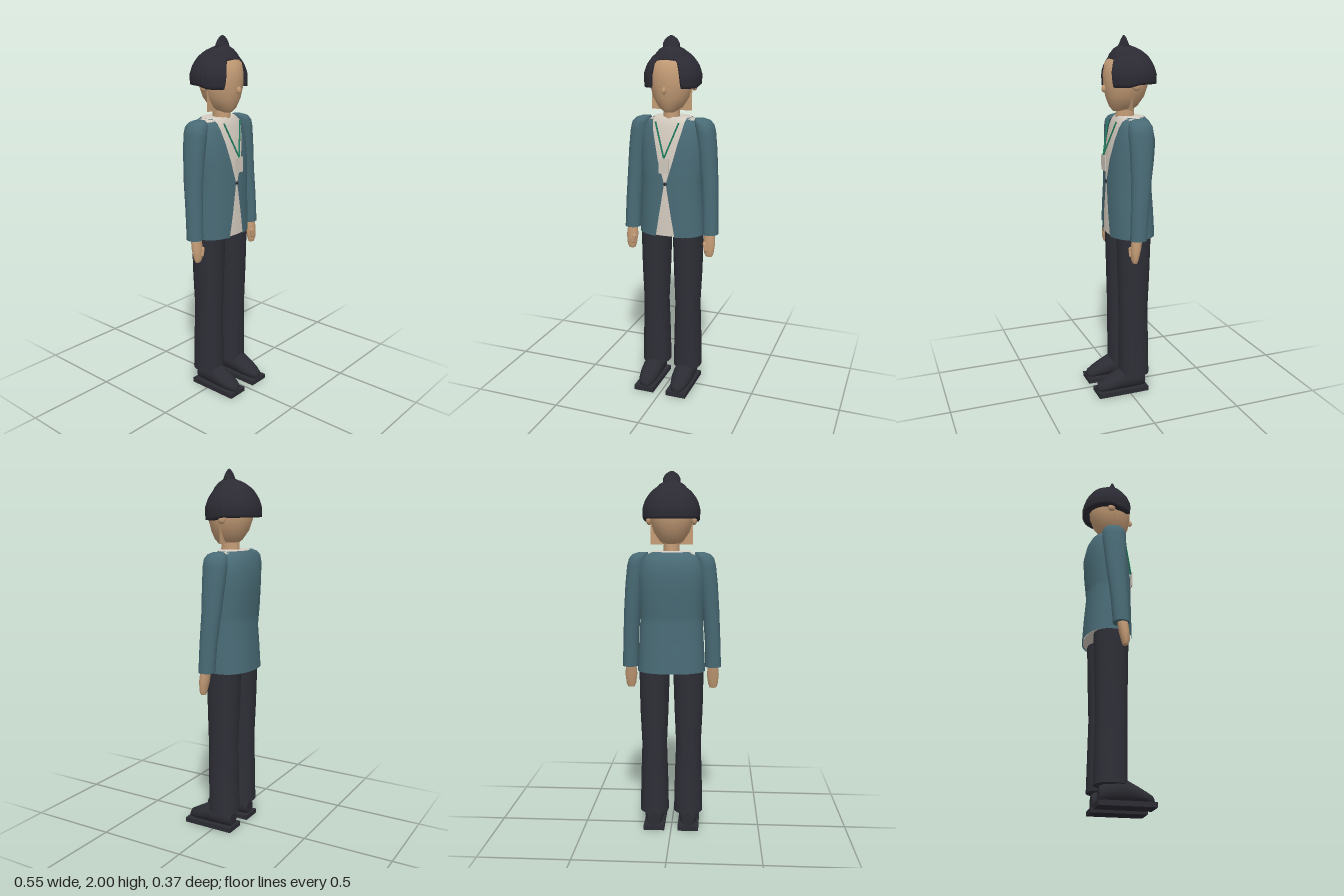
import * as THREE from 'three';

const mat = (name, color, side = THREE.FrontSide) => {
  const m = new THREE.MeshStandardMaterial({ color, side });
  m.name = name;
  return m;
};

// Smooth skin over rows of points; f(row, u) gives [x, y, z], u runs 0..1 around from the front.
function skin(rows, cols, f, { closed = true, caps = true } = {}) {
  const pos = [], idx = [], n = closed ? cols : cols + 1;
  for (let i = 0; i < rows; i++)
    for (let j = 0; j < n; j++) pos.push(...f(i, j / cols));
  for (let i = 0; i < rows - 1; i++)
    for (let j = 0; j < cols; j++) {
      const k = (j + 1) % n, a = i * n + j, b = i * n + k, c = a + n, d = b + n;
      idx.push(a, b, c, b, d, c);
    }
  if (closed && caps) for (const i of [0, rows - 1]) {
    const start = pos.length / 3, mid = [0, 0, 0];
    for (let j = 0; j < n; j++) {
      const p = f(i, j / cols);
      pos.push(...p);
      p.forEach((v, q) => { mid[q] += v / n; });
    }
    pos.push(...mid);
    for (let j = 0; j < n; j++) {
      const a = start + j, b = start + (j + 1) % n;
      if (i) idx.push(a, b, start + n); else idx.push(b, a, start + n);
    }
  }
  const g = new THREE.BufferGeometry();
  g.setAttribute('position', new THREE.Float32BufferAttribute(pos, 3));
  g.setIndex(idx);
  g.computeVertexNormals();
  return g;
}

// Point on a rounded cross-section; p under 1 makes it squarer.
const pw = (v, p) => Math.sign(v) * Math.abs(v) ** p;
const oval = (a, y, cx, rx, zf, zb, p = 1) =>
  [cx + rx * pw(Math.sin(a), p), y, (zf + zb) / 2 + (zf - zb) / 2 * pw(Math.cos(a), p)];

// Loft of rings [y, centreX, radiusX, frontZ, backZ], listed from the bottom up.
const loft = (rings, s = 1, p = 1, cols = 28) => skin(rings.length, cols, (i, u) => {
  const [y, cx, rx, zf, zb] = rings[i];
  return oval(u * Math.PI * 2, y, cx * s, rx, zf, zb, p);
});

export function createModel() {
  const root = new THREE.Group();
  root.name = 'standingFigure';
  const skinTone = mat('skin', 0xc49c76, THREE.DoubleSide);
  const hairMat = mat('hair', 0x2c2b34, THREE.DoubleSide);
  const jacketMat = mat('jacket', 0x496b76, THREE.DoubleSide);
  const shirtMat = mat('shirt', 0xd6cdc1);
  const trouserMat = mat('trousers', 0x2e2e37);
  const shoeMat = mat('shoes', 0x2b2b33);
  const greenMat = mat('lanyard green', 0x1f8060);
  const cardMat = mat('badge card', 0xd0c8bd);
  const add = (name, geo, m, x = 0, y = 0, z = 0) => {
    const mesh = new THREE.Mesh(geo, m);
    mesh.name = name;
    mesh.position.set(x, y, z);
    root.add(mesh);
    return mesh;
  };

  // Torso rings: y, radiusX, frontZ, backZ, half width of the jacket opening
  const torso = [
    [0.925, 0.187, 0.09, -0.175, 0.055], [1.05, 0.18, 0.09, -0.168, 0.034],
    [1.2, 0.172, 0.087, -0.156, 0.009], [1.23, 0.172, 0.087, -0.158, 0.006],
    [1.35, 0.177, 0.084, -0.17, 0.042], [1.45, 0.178, 0.07, -0.175, 0.066],
    [1.52, 0.165, 0.056, -0.16, 0.084], [1.555, 0.14, 0.045, -0.142, 0.09],
    [1.575, 0.105, 0.032, -0.122, 0.093],
  ];
  const P = 0.88, inset = 0.007;
  add('shirt', loft(torso.map(([y, rx, zf, zb]) =>
    [y + 0.004, 0, rx - inset, zf - inset, zb + inset]), 1, P, 40), shirtMat);
  add('jacketBody', skin(torso.length, 48, (i, u) => {
    const [y, rx, zf, zb, gap] = torso[i];
    const a0 = Math.asin((gap / rx) ** (1 / P));
    return oval(a0 + u * (Math.PI * 2 - 2 * a0), y, 0, rx, zf, zb, P);
  }, { closed: false }), jacketMat);
  add('jacketButton', new THREE.SphereGeometry(0.009, 12, 8), shoeMat, 0, 1.225, 0.087);

  // Neck and head
  add('neck', loft([[1.56, 0, 0.044, 0.03, -0.075], [1.67, 0, 0.042, 0.025, -0.07]]), skinTone);
  add('head', loft([
    [1.605, 0, 0.028, 0.045, -0.055], [1.63, 0, 0.064, 0.066, -0.09],
    [1.68, 0, 0.097, 0.084, -0.125], [1.74, 0, 0.115, 0.095, -0.145],
    [1.8, 0, 0.118, 0.097, -0.15], [1.86, 0, 0.108, 0.087, -0.135],
    [1.9, 0, 0.075, 0.05, -0.1],
  ], 1, 1, 36), skinTone);
  add('nose', new THREE.SphereGeometry(1, 12, 8), skinTone, 0, 1.725, 0.096).scale.set(0.01, 0.02, 0.016);

  // Hair shell, higher at the forehead and lobed all around
  const profile = [[1.73, 0.149, 0.144], [1.8, 0.153, 0.145], [1.85, 0.137, 0.128],
    [1.89, 0.108, 0.103], [1.92, 0.072, 0.07], [1.94, 0.03, 0.03]];
  const radii = (y) => {
    let k = 0;
    while (k < profile.length - 2 && y > profile[k + 1][0]) k++;
    const [y0, x0, z0] = profile[k], [y1, x1, z1] = profile[k + 1], t = (y - y0) / (y1 - y0);
    return [x0 + (x1 - x0) * t, z0 + (z1 - z0) * t];
  };
  add('hair', skin(14, 120, (i, u) => {
    const a = u * Math.PI * 2, front = Math.min(a, Math.PI * 2 - a);
    const back = THREE.MathUtils.smoothstep(front, 1.2, 1.7) * 0.015;
    const low = THREE.MathUtils.lerp(1.88, 1.735, THREE.MathUtils.smoothstep(front, 0.42, 0.64)) + back;
    const y = low + (1.94 - low) * Math.max(0, i - 1) / 12;
    const [rx, rz] = radii(y), s = (i ? 1 : 0.76) * (1 + 0.018 * Math.abs(Math.sin(a * 16)));
    return oval(a, y, 0, rx * s, -0.042 + rz * s, -0.042 - rz * s, 0.93);
  }, { caps: false }), hairMat);
  add('hairCrown', loft([
    [1.87, 0, 0.1, 0.072, -0.128], [1.9, 0, 0.093, 0.062, -0.118],
    [1.93, 0, 0.066, 0.038, -0.088], [1.947, 0, 0.035, 0.012, -0.05],
  ], 1, 0.95, 32), hairMat);
  // Top knot: round from the front, pinched to a ridge from the side
  add('hairBun', loft([
    [1.92, 0, 0.036, 0.022, -0.052], [1.94, 0, 0.047, 0.014, -0.045],
    [1.96, 0, 0.047, 0.002, -0.034], [1.98, 0, 0.036, -0.007, -0.025],
    [1.993, 0, 0.02, -0.012, -0.02], [2, 0, 0.006, -0.014, -0.017],
  ], 1, 1, 24), hairMat);

  // Lanyard and badge
  add('badge', new THREE.BoxGeometry(0.058, 0.083, 0.006), cardMat, 0, 1.328, 0.102);

  for (const s of [1, -1]) {
    const side = s > 0 ? 'left' : 'right';
    add(side + 'Ear', new THREE.SphereGeometry(1, 14, 10), skinTone, s * 0.122, 1.742, -0.04)
      .scale.set(0.015, 0.026, 0.022);
    add(side + 'JawPlate', new THREE.PlaneGeometry(0.075, 0.135), skinTone, s * 0.0775, 1.68, -0.022);
    const strap = new THREE.LineCurve3(
      new THREE.Vector3(s * 0.066, 1.555, 0.052), new THREE.Vector3(0, 1.37, 0.103));
    add(side + 'LanyardStrap', new THREE.TubeGeometry(strap, 1, 0.0045, 6), greenMat);

    // Arm
    add(side + 'Sleeve', loft([
      [0.94, 0.231, 0.044, 0.033, -0.056], [1.1, 0.226, 0.043, 0.028, -0.068],
      [1.25, 0.216, 0.046, 0.022, -0.086], [1.4, 0.202, 0.05, 0.025, -0.1],
      [1.5, 0.189, 0.052, 0.028, -0.108], [1.54, 0.181, 0.05, 0.025, -0.104],
      [1.562, 0.168, 0.042, 0.012, -0.09], [1.572, 0.155, 0.026, -0.008, -0.07],
    ], s, 0.95), jacketMat);
    add(side + 'Hand', loft([
      [0.815, 0.231, 0.018, 0.022, -0.004], [0.835, 0.231, 0.027, 0.029, -0.01],
      [0.89, 0.23, 0.034, 0.031, -0.024], [0.95, 0.23, 0.028, 0.024, -0.034],
    ], s, 1, 18), skinTone);
    add(side + 'Thumb', new THREE.CapsuleGeometry(0.011, 0.035, 4, 10), skinTone, s * 0.214, 0.872, 0.026)
      .rotation.z = s * 0.2;

    // Leg
    add(side + 'TrouserLeg', loft([
      [0.108, 0.096, 0.081, 0.045, -0.126], [0.3, 0.096, 0.077, 0.046, -0.122],
      [0.5, 0.096, 0.07, 0.048, -0.118], [0.7, 0.096, 0.079, 0.052, -0.125],
      [0.94, 0.094, 0.085, 0.058, -0.132],
    ], s, 0.9), trouserMat);

    // Shoe: upper lofted from heel to toe as [z, half width, top y]
    const upper = [[-0.1, 0.036, 0.1], [-0.07, 0.05, 0.12], [0, 0.058, 0.138], [0.04, 0.059, 0.138],
      [0.09, 0.056, 0.112], [0.14, 0.046, 0.084], [0.172, 0.03, 0.066], [0.183, 0.012, 0.05]];
    add(side + 'ShoeUpper', skin(upper.length, 24, (i, u) => {
      const [z, w, top] = upper[i], a = u * Math.PI * 2, h = (top - 0.018) / 2;
      return [s * 0.097 + w * Math.cos(a), 0.018 + h + h * Math.sin(a), z];
    }), shoeMat);
    add(side + 'ShoeSole', new THREE.BoxGeometry(0.118, 0.026, 0.298), shoeMat, s * 0.097, 0.013, 0.037);
  }
  return root;
}
